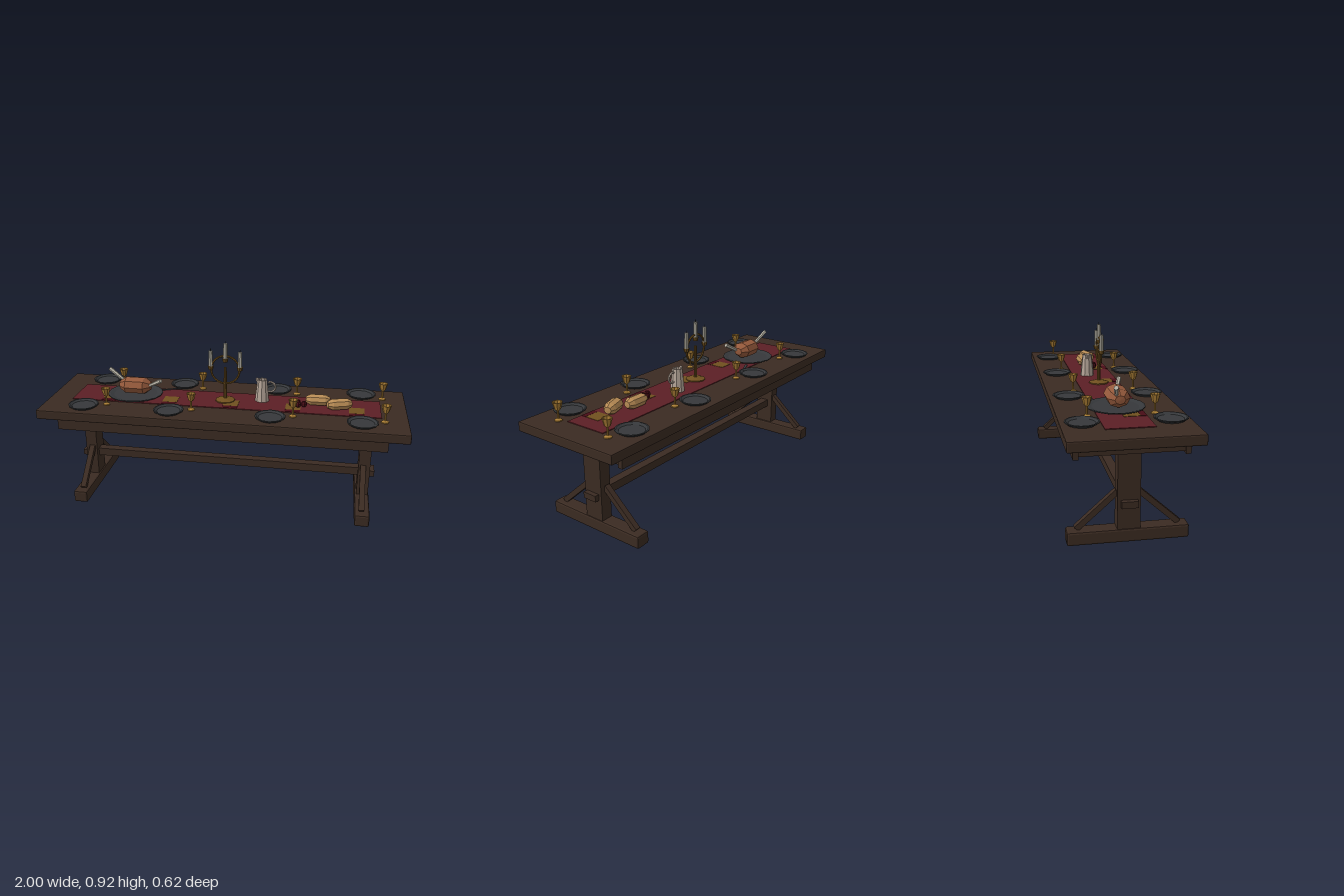
import * as THREE from 'three';
import { RoundedBoxGeometry } from 'three/addons/geometries/RoundedBoxGeometry.js';

function material(name, color) {
  const m = new THREE.MeshStandardMaterial({ color, flatShading: true });
  m.name = name;
  return m;
}

export function createModel() {
  const wood = material('dark wood', 0x3b2b22);
  const cloth = material('red cloth', 0x5c1f25);
  const gold = material('gold', 0xa87c34);
  const bronze = material('bronze', 0x70501f);
  const pewter = material('pewter', 0x36383b);
  const meat = material('roast brown', 0x965a3c);
  const ivory = material('ivory', 0xbdb8aa);
  const clay = material('pale clay', 0xb5a598);
  const crust = material('bread crust', 0xb88c55);
  const wine = material('wine red', 0x480d16);

  const model = new THREE.Group();
  model.name = 'banquetTable';

  function add(name, geometry, mat, x = 0, y = 0, z = 0, parent = model) {
    const mesh = new THREE.Mesh(geometry, mat);
    mesh.name = name;
    mesh.position.set(x, y, z);
    parent.add(mesh);
    return mesh;
  }
  function group(name, x, y, z) {
    const g = new THREE.Group();
    g.name = name;
    g.position.set(x, y, z);
    model.add(g);
    return g;
  }
  const box = (w, h, d) => new THREE.BoxGeometry(w, h, d);
  const cyl = (top, bottom, h, n = 8) => new THREE.CylinderGeometry(top, bottom, h, n);
  const lathe = (points, n) =>
    new THREE.LatheGeometry(points.map(([r, y]) => new THREE.Vector2(r, y)), n);
  // Cylinder stretched between two points
  function rod(name, a, b, r0, r1, mat, parent = model) {
    const from = new THREE.Vector3(...a), to = new THREE.Vector3(...b);
    const dir = to.clone().sub(from);
    const mesh = add(name, cyl(r1, r0, dir.length(), 6), mat, 0, 0, 0, parent);
    mesh.position.copy(from).add(to).multiplyScalar(0.5);
    mesh.quaternion.setFromUnitVectors(new THREE.Vector3(0, 1, 0), dir.normalize());
    return mesh;
  }

  // Table top and the frame below it
  add('tableTop', new RoundedBoxGeometry(2, 0.052, 0.62, 1, 0.007), wood, 0, 0.541, 0);
  for (const s of [-1, 1]) {
    add('sideRail', box(1.79, 0.072, 0.025), wood, 0, 0.481, s * 0.257);
    add('endBeam', box(0.05, 0.06, 0.49), wood, s * 0.865, 0.488, 0);
  }

  // Trestles with foot, post, peg and two diagonal braces
  for (const s of [-1, 1]) {
    add('foot', new RoundedBoxGeometry(0.08, 0.068, 0.585, 1, 0.01), wood, s * 0.795, 0.034, 0);
    add('post', box(0.065, 0.46, 0.11), wood, s * 0.797, 0.29, 0);
    add('peg', box(0.025, 0.033, 0.08), wood, s * 0.843, 0.196, 0);
    for (const t of [-1, 1]) {
      const brace = add('brace', box(0.03, 0.262, 0.028), wood, s * 0.79, 0.158, t * 0.148);
      brace.rotation.x = -t * 0.84;
    }
  }
  add('stretcher', box(1.56, 0.045, 0.05), wood, 0, 0.198, 0);

  // Cloth runner with woven patches
  add('runner', box(1.72, 0.005, 0.235), cloth, 0, 0.5685, -0.003);
  for (let i = 0; i < 5; i++) {
    const x = -0.65 + i * 0.345;
    add('runnerPatch', box(0.083, 0.002, 0.082), bronze, x, 0.572, 0.041);
    add('runnerPatchEdge', box(0.083, 0.002, 0.03), wine, x, 0.572, 0.098);
  }

  // Place settings along both sides
  const plateShape = lathe([[0, 0], [0.065, 0], [0.083, 0.012], [0.083, 0.016],
    [0.076, 0.016], [0.064, 0.007], [0, 0.007]], 14);
  const gobletShape = lathe([[0, 0], [0.02, 0], [0.02, 0.005], [0.006, 0.012],
    [0.005, 0.05], [0.016, 0.06], [0.026, 0.097], [0.022, 0.097], [0.014, 0.068], [0, 0.066]], 8);
  for (const x of [-0.76, -0.278, 0.275, 0.757]) {
    for (const s of [-1, 1]) {
      add('plate', plateShape, pewter, x, 0.567, s * 0.208);
      add('goblet', gobletShape, gold, x + 0.117, 0.567, s * 0.165 - 0.003);
    }
  }

  // Platter with a roast joint, its bones and a knife
  const platter = add('platter', lathe([[0, 0], [0.12, 0], [0.148, 0.009], [0.148, 0.013],
    [0.138, 0.013], [0.118, 0.007], [0, 0.007]], 18), pewter, -0.525, 0.571, -0.008);
  platter.scale.x = 1.06;
  const roast = add('roast', lathe([[0, -0.092], [0.022, -0.09], [0.048, -0.052],
    [0.048, 0.052], [0.022, 0.09], [0, 0.092]], 8), meat, -0.52, 0.63, 0);
  roast.rotation.z = -Math.PI / 2;
  roast.scale.z = 1.2;
  rod('boneRight', [-0.45, 0.628, 0.01], [-0.36, 0.68, 0.043], 0.009, 0.012, ivory);
  rod('boneLeft', [-0.59, 0.65, -0.015], [-0.68, 0.71, -0.035], 0.009, 0.012, ivory);
  const knife = add('knife', box(0.13, 0.003, 0.014), pewter, -0.33, 0.575, -0.115);
  knife.rotation.y = 0.42;

  // Candelabra: stem, ring and three candles
  const candelabra = group('candelabra', 0, 0.567, 0);
  add('candelabraBase', lathe([[0, 0], [0.055, 0], [0.055, 0.01], [0.014, 0.02], [0, 0.02]], 10),
    bronze, 0, 0, 0, candelabra);
  add('stem', cyl(0.008, 0.01, 0.19), bronze, 0, 0.105, 0, candelabra);
  add('ring', new THREE.TorusGeometry(0.08, 0.006, 6, 24), bronze, 0, 0.185, 0, candelabra);
  for (const [x, y] of [[-0.082, 0.184], [0, 0.23], [0.082, 0.184]]) {
    add('candleCup', cyl(0.017, 0.013, 0.02), bronze, x, y + 0.01, 0, candelabra);
    add('candle', cyl(0.011, 0.012, 0.088), ivory, x, y + 0.062, 0, candelabra);
    add('wick', cyl(0.002, 0.002, 0.014, 5), pewter, x, y + 0.112, 0, candelabra);
  }

  // Jug with spout and handle
  const jug = group('jug', 0.205, 0.571, -0.035);
  add('jugBody', lathe([[0, 0], [0.04, 0], [0.036, 0.045], [0.027, 0.125],
    [0.022, 0.125], [0.026, 0.085], [0, 0.08]], 9), clay, 0, 0, 0, jug);
  rod('spout', [-0.018, 0.105, 0], [-0.034, 0.13, 0], 0.012, 0.008, clay, jug);
  const handle = add('jugHandle', new THREE.TorusGeometry(0.028, 0.006, 5, 12, Math.PI * 1.3),
    clay, 0.045, 0.083, 0, jug);
  handle.rotation.z = -Math.PI * 0.65;

  // Two loaves
  const loafShape = lathe([[0, -0.068], [0.018, -0.067], [0.032, -0.04],
    [0.032, 0.04], [0.018, 0.067], [0, 0.068]], 8);
  for (const [x, z, turn] of [[0.518, -0.018, 0], [0.635, 0.026, 0.32]]) {
    const loaf = group('loaf', x, 0.6, z);
    loaf.rotation.y = turn;
    const body = add('loafCrust', loafShape, crust, 0, 0, 0, loaf);
    body.rotation.z = -Math.PI / 2;
    body.scale.z = 1.1;
  }

  // Small heap of berries
  for (const [x, z] of [[0.378, 0.03], [0.408, 0.008], [0.412, 0.036], [0.443, 0.026]]) {
    add('berry', new THREE.SphereGeometry(0.018, 7, 5), wine, x, 0.588, z);
  }
  return model;
}
